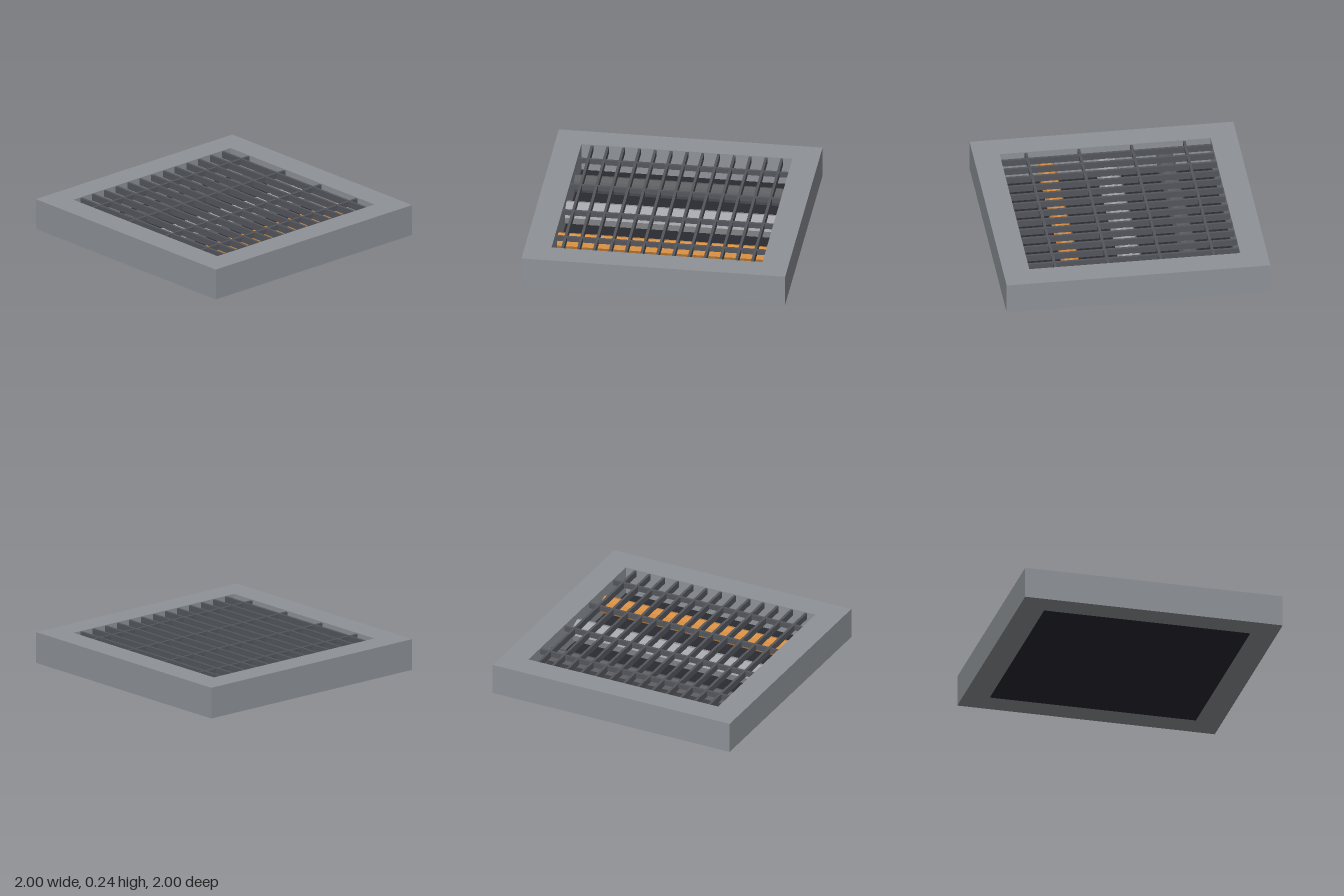
import * as THREE from 'three';

const mat = (name, color, flatShading = false) => {
  const m = new THREE.MeshStandardMaterial({ color, flatShading });
  m.name = name;
  return m;
};

export function createModel() {
  const group = new THREE.Group();
  group.name = 'floorGrate';
  const concrete = mat('frameGrey', 0x8f9398);
  const dark = mat('pitDark', 0x2a2a32);
  const steel = mat('grateSteel', 0x54575d);

  const add = (name, geometry, material, x, y, z) => {
    const mesh = new THREE.Mesh(geometry, material);
    mesh.name = name;
    mesh.position.set(x, y, z);
    group.add(mesh);
    return mesh;
  };

  // Square frame with a square opening
  const square = (Type, h) => new Type([[-h, -h], [h, -h], [h, h], [-h, h]].map(p => new THREE.Vector2(...p)));
  const outline = square(THREE.Shape, 1);
  outline.holes.push(square(THREE.Path, 0.8));
  const frame = new THREE.ExtrudeGeometry(outline, { depth: 0.24, bevelEnabled: false });
  frame.rotateX(-Math.PI / 2);
  add('frame', frame, concrete, 0, 0, 0);

  // Pit floor
  add('pitFloor', new THREE.BoxGeometry(1.6, 0.02, 1.6), dark, 0, 0.01, 0);

  // Eight-sided pipes: z position, radius, material
  const pipes = [
    ['darkPipe', -0.45, 0.07, mat('darkPipeGrey', 0x5c5e60)],
    ['lightPipe', 0, 0.09, mat('lightPipeGrey', 0xa2a4a8)],
    ['orangePipe', 0.45, 0.07, mat('pipeOrange', 0xd68f42)],
  ];
  for (const [name, z, r, material] of pipes) {
    material.flatShading = true;
    const pipe = new THREE.CylinderGeometry(r, r, 1.6, 8);
    pipe.rotateZ(Math.PI / 2);
    add(name, pipe, material, 0, 0.1, z);
  }

  // Grate: long bars along z and cross bars along x
  const longBar = new THREE.BoxGeometry(0.02, 0.05, 1.6);
  for (let i = -6; i <= 6; i++) add('longBar', longBar, steel, i * 0.12, 0.21, 0);
  const crossBar = new THREE.BoxGeometry(1.6, 0.04, 0.02);
  for (const z of [-0.6, -0.2, 0.2, 0.6]) add('crossBar', crossBar, steel, 0, 0.212, z);

  return group;
}
